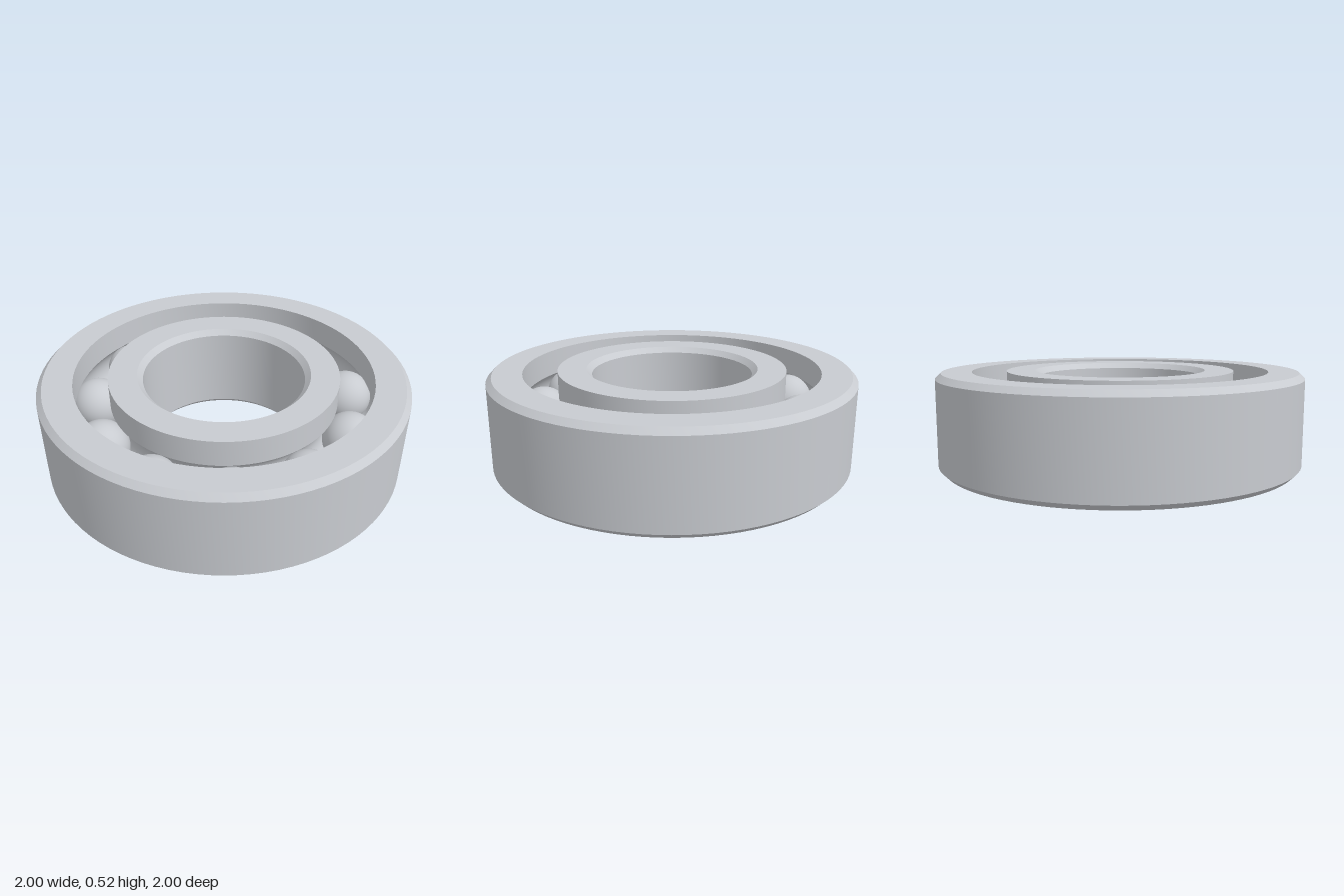
import * as THREE from 'three';
import { toCreasedNormals } from 'three/addons/utils/BufferGeometryUtils.js';

const HEIGHT = 0.52, MID = HEIGHT / 2, CHAMFER = 0.03;
const PITCH = 0.7175, BALL_R = 0.145, GROOVE_R = 0.147, BALLS = 11;

// Ring cross-section: chamfered on the plain wall, ball groove in the race wall
function ringGeometry(plainR, raceR) {
  const side = Math.sign(raceR - PITCH); // +1 outer ring, -1 inner ring
  const half = Math.acos(Math.abs(raceR - PITCH) / GROOVE_R);
  const inset = plainR - side * CHAMFER;
  const pts = [
    [raceR, 0], [inset, 0], [plainR, CHAMFER],
    [plainR, HEIGHT - CHAMFER], [inset, HEIGHT], [raceR, HEIGHT],
  ].map(([r, y]) => new THREE.Vector2(r, y));
  const steps = 14;
  for (let i = 0; i <= steps; i++) {
    const a = half - (2 * half * i) / steps;
    pts.push(new THREE.Vector2(PITCH + side * GROOVE_R * Math.cos(a), MID + GROOVE_R * Math.sin(a)));
  }
  pts.push(pts[0].clone());
  if (side < 0) pts.reverse(); // keep faces pointing outward
  return toCreasedNormals(new THREE.LatheGeometry(pts, 96), 0.5);
}

export function createModel() {
  const steel = new THREE.MeshStandardMaterial({ color: 0xc8cbd0 });
  steel.name = 'steel';
  const model = new THREE.Group();
  model.name = 'ballBearing';

  // Outer and inner races
  const outerRing = new THREE.Mesh(ringGeometry(1, 0.81), steel);
  outerRing.name = 'outerRing';
  const innerRing = new THREE.Mesh(ringGeometry(0.44, 0.625), steel);
  innerRing.name = 'innerRing';
  model.add(outerRing, innerRing);

  // Balls spaced evenly around the groove
  const balls = new THREE.Group();
  balls.name = 'balls';
  const ballGeometry = new THREE.SphereGeometry(BALL_R, 40, 24);
  for (let i = 0; i < BALLS; i++) {
    const a = (i / BALLS) * Math.PI * 2;
    const ball = new THREE.Mesh(ballGeometry, steel);
    ball.name = `ball${i + 1}`;
    ball.position.set(PITCH * Math.cos(a), MID, PITCH * Math.sin(a));
    balls.add(ball);
  }
  model.add(balls);
  return model;
}
